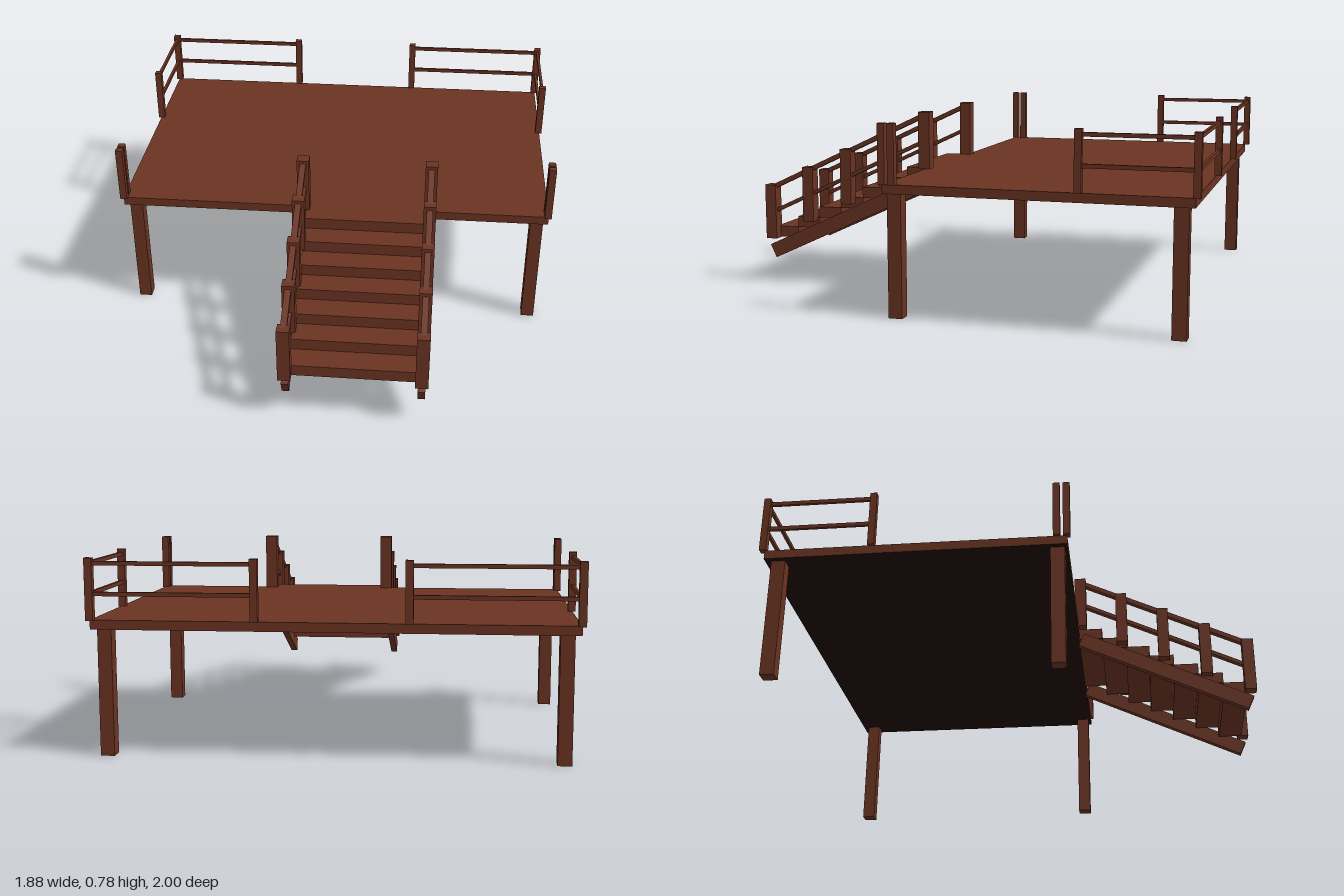
import * as THREE from 'three';

const wood = new THREE.MeshStandardMaterial({ color: 0x6a3322 });
wood.name = 'brown wood';
const darkWood = new THREE.MeshStandardMaterial({ color: 0x200b08 });
darkWood.name = 'dark underside';

// Box given by its size and centre
function box(parent, name, size, centre, material = wood) {
  const mesh = new THREE.Mesh(new THREE.BoxGeometry(...size), material);
  mesh.name = name;
  mesh.position.set(...centre);
  parent.add(mesh);
  return mesh;
}

// Bar in the yz plane running between two [y, z] points
function slopedBar(parent, name, x, width, thick, a, b) {
  const dy = b[0] - a[0], dz = b[1] - a[1];
  const bar = box(parent, name, [width, thick, Math.hypot(dy, dz)],
    [x, (a[0] + b[0]) / 2, (a[1] + b[1]) / 2]);
  bar.rotation.x = -Math.atan2(dy, dz);
}

function addGroup(parent, name) {
  const group = new THREE.Group();
  group.name = name;
  parent.add(group);
  return group;
}

export function createModel() {
  const model = new THREE.Group();
  model.name = 'raised deck';
  const deckTop = 0.537, deckBottom = 0.5;

  // Platform with a darker underside, on four legs
  box(model, 'platform', [1.858, deckTop - deckBottom, 1.213],
    [-0.003, (deckTop + deckBottom) / 2, -0.372],
    [wood, wood, wood, darkWood, wood, wood]);
  const legs = addGroup(model, 'legs');
  for (const x of [-0.882, 0.878]) {
    for (const z of [0.194, -0.926]) {
      box(legs, 'leg', [0.055, deckBottom, 0.057], [x, deckBottom / 2, z]);
    }
  }

  // Corner railings at the back, and paired posts at the front corners
  const railings = addGroup(model, 'railings');
  const post = (x, z) =>
    box(railings, 'railingPost', [0.03, 0.24, 0.028], [x, 0.656, z]);
  const backZ = -0.984, sideZ = -0.545;
  for (const [outer, inner] of [[-0.93, -0.295], [0.922, 0.29]]) {
    post(outer, backZ);
    post(inner, backZ);
    post(outer, sideZ);
    post(outer, 0.193);
    post(outer, 0.233);
    for (const y of [0.755, 0.638]) {
      box(railings, 'backRail', [Math.abs(outer - inner), 0.016, 0.012],
        [(outer + inner) / 2, y, backZ]);
      box(railings, 'sideRail', [0.012, 0.016, sideZ - backZ],
        [outer, y, (sideZ + backZ) / 2]);
    }
  }

  // Seven solid steps
  const stairs = addGroup(model, 'stairs');
  const rise = 0.0485, going = 0.105;
  for (let i = 0; i < 7; i++) {
    box(stairs, 'step', [0.52, rise, going],
      [0.143, deckTop - rise * (i + 0.5), 0.336 + going * (i - 0.5)]);
  }

  // Stringers, handrails and posts on both sides of the stairs
  for (const x of [-0.13, 0.416]) {
    slopedBar(stairs, 'stringer', x, 0.03, 0.064, [0.473, 0.244], [0.136, 0.973]);
    slopedBar(stairs, 'handrail', x, 0.026, 0.02, [0.766, 0.243], [0.423, 0.975]);
    slopedBar(stairs, 'lowerRail', x, 0.026, 0.016, [0.655, 0.243], [0.312, 0.975]);
    for (let i = 0; i < 5; i++) {
      box(stairs, 'stairPost', [0.052, 0.242, 0.05],
        [x, 0.658 - 0.0856 * i, 0.243 + 0.183 * i]);
    }
  }
  return model;
}
